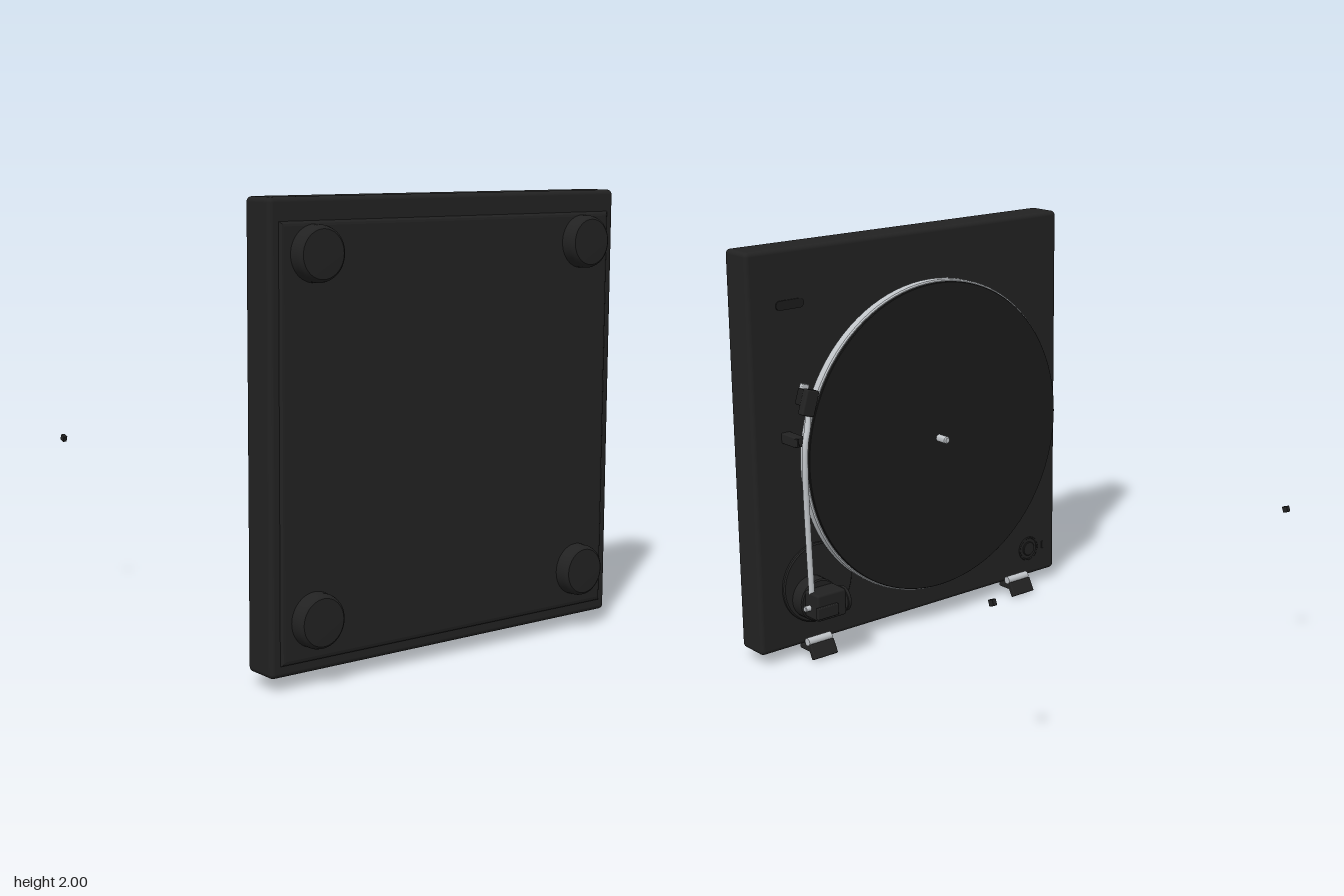
import * as THREE from 'three';
import { toCreasedNormals } from 'three/addons/utils/BufferGeometryUtils.js';
import { RoundedBoxGeometry } from 'three/addons/geometries/RoundedBoxGeometry.js';

const mat = (name, color) => {
  const m = new THREE.MeshStandardMaterial({ color });
  m.name = name;
  return m;
};

export function createModel() {
  const black = mat('plinthBlack', 0x222222);
  const rubber = mat('rubberBlack', 0x1c1c1c);
  const silver = mat('silver', 0xc0c4c8);
  const root = new THREE.Group();
  root.name = 'turntable';

  function add(name, geometry, material, x = 0, y = 0, z = 0, parent = root) {
    const m = new THREE.Mesh(geometry, material);
    m.name = name;
    m.position.set(x, y, z);
    parent.add(m);
    return m;
  }
  // Round part about the z axis; profile is [radius, z], from low z to high z
  function turned(name, profile, material, x, y, z = 0, segments = 48, parent = root) {
    const pts = profile.map(([r, h]) => new THREE.Vector2(r, h));
    const g = toCreasedNormals(new THREE.LatheGeometry(pts, segments).rotateX(Math.PI / 2), 0.6);
    return add(name, g, material, x, y, z, parent);
  }
  const disc = (r, z0, z1, b = 0.003) =>
    [[0, z0], [r - b, z0], [r, z0 + b], [r, z1 - b], [r - b, z1], [0, z1]];
  // Rounded box given by its extents
  function block(name, x0, x1, y0, y1, z0, z1, r, material = black, parent = root) {
    const g = new RoundedBoxGeometry(x1 - x0, y1 - y0, z1 - z0, 3, r);
    return add(name, g, material, (x0 + x1) / 2, (y0 + y1) / 2, (z0 + z1) / 2, parent);
  }

  // Plinth, standing on its rear edge with the underside facing forward
  block('plinth', -0.943, 0.943, 0.06, 2, 0.7, 0.872, 0.022);
  const panel = new THREE.Shape();
  panel.moveTo(-0.88, 0.13).lineTo(0.88, 0.13).lineTo(0.88, 1.885).lineTo(-0.88, 1.885).closePath();
  const panelGeo = new THREE.ExtrudeGeometry(panel, {
    depth: 0.03, bevelThickness: 0.015, bevelSize: 0.02, bevelSegments: 3,
  });
  add('bottomPanel', panelGeo, black, 0, 0, 0.84);

  // Four feet
  for (const x of [-0.735, 0.735]) for (const y of [0.285, 1.775]) {
    turned('foot', [[0, 0.87], [0.117, 0.87], [0.115, 0.925], [0.11, 0.94], [0.1, 0.948], [0, 0.95]],
      black, x, y);
  }

  // Platter with mat and spindle
  const px = -0.085, py = 0.972;
  turned('platterBase', disc(0.765, 0.675, 0.705), rubber, px, py, 0, 96);
  turned('platter', disc(0.787, 0.63, 0.682, 0.006), silver, px, py, 0, 96);
  turned('platterMat', disc(0.777, 0.617, 0.635), rubber, px, py, 0, 96);
  turned('spindle', disc(0.018, 0.547, 0.62, 0.006), silver, px, py, 0, 24);

  // Start switch and speed knob on the deck
  const pill = new THREE.Shape();
  pill.absarc(0.055, 0, 0.022, -Math.PI / 2, Math.PI / 2);
  pill.absarc(-0.055, 0, 0.022, Math.PI / 2, Math.PI * 1.5);
  add('startSwitch', new THREE.ExtrudeGeometry(pill, { depth: 0.008, bevelEnabled: false }),
    rubber, 0.715, 1.74, 0.694);
  const ring = new THREE.TorusGeometry(0.06, 0.005, 8, 40);
  add('knobRing', ring, rubber, -0.757, 0.21, 0.7);
  turned('speedKnob', disc(0.038, 0.692, 0.71), black, -0.757, 0.21, 0, 32);
  block('speedMark', -0.862, -0.85, 0.19, 0.23, 0.695, 0.704, 0.003, rubber);

  // Tonearm mount
  const arm = new THREE.Group();
  arm.name = 'tonearm';
  root.add(arm);
  turned('armBase', disc(0.2, 0.682, 0.705, 0.006), black, 0.615, 0.365, 0, 48, arm);
  turned('armPedestal', disc(0.105, 0.605, 0.69, 0.006), black, 0.665, 0.307, 0, 40, arm);
  block('pivotHousing', 0.585, 0.75, 0.245, 0.378, 0.5, 0.612, 0.012, black, arm);
  block('pivotCap', 0.64, 0.76, 0.262, 0.32, 0.486, 0.505, 0.005, black, arm);
  const dial = turned('balanceDial', disc(0.063, -0.011, 0.011), black, 0.573, 0.31, 0.55, 32, arm);
  dial.rotation.y = Math.PI / 2;
  const pin = turned('pivotPin', disc(0.014, -0.02, 0.02), silver, 0.76, 0.3, 0.568, 20, arm);
  pin.rotation.y = Math.PI / 2;

  // Bent arm tube
  const path = new THREE.CatmullRomCurve3([
    [0.735, 0.36, 0.57], [0.742, 0.6, 0.57], [0.75, 0.85, 0.567], [0.753, 1, 0.563],
    [0.745, 1.11, 0.566], [0.722, 1.18, 0.577], [0.706, 1.24, 0.592],
  ].map((p) => new THREE.Vector3(...p)));
  add('armTube', new THREE.TubeGeometry(path, 48, 0.0145, 14), silver, 0, 0, 0, arm);

  // Headshell and cartridge
  const head = new THREE.Group();
  head.name = 'headshell';
  head.position.set(0.705, 1.295, 0);
  head.rotation.z = 0.3;
  arm.add(head);
  block('shell', -0.035, 0.035, -0.062, 0.062, 0.566, 0.607, 0.008, black, head);
  block('cartridge', -0.03, 0.03, -0.022, 0.055, 0.6, 0.652, 0.006, rubber, head);
  block('stylus', -0.02, 0.02, 0.04, 0.078, 0.634, 0.658, 0.004, silver, head);

  // Arm rest
  block('restPost', 0.735, 0.785, 1.09, 1.14, 0.59, 0.705, 0.006, black, arm);
  block('restClip', 0.725, 0.735, 1.095, 1.135, 0.57, 0.61, 0.003, black, arm);
  block('restClip', 0.775, 0.785, 1.095, 1.135, 0.57, 0.61, 0.003, black, arm);

  // Cover hinges and the separate cover pads
  for (const s of [-1, 1]) {
    const x = s * 0.64;
    block('hingePlate', x - 0.07, x + 0.07, 0.04, 0.066, 0.63, 0.72, 0.005);
    const rod = add('hingePin', new THREE.CylinderGeometry(0.02, 0.02, 0.135, 20), silver, x, 0.084, 0.662);
    rod.rotation.z = Math.PI / 2;
    const tab = block('hingeTab', x - 0.07, x + 0.07, 0.003, 0.078, 0.615, 0.643, 0.006);
    tab.rotation.x = 0.5;
    const pad = block('coverPad', s * 0.898 - 0.01, s * 0.898 + 0.01, 0.794, 0.822, -0.947, -0.917, 0.003);
    pad.rotation.x = 0.35;
  }
  return root;
}
